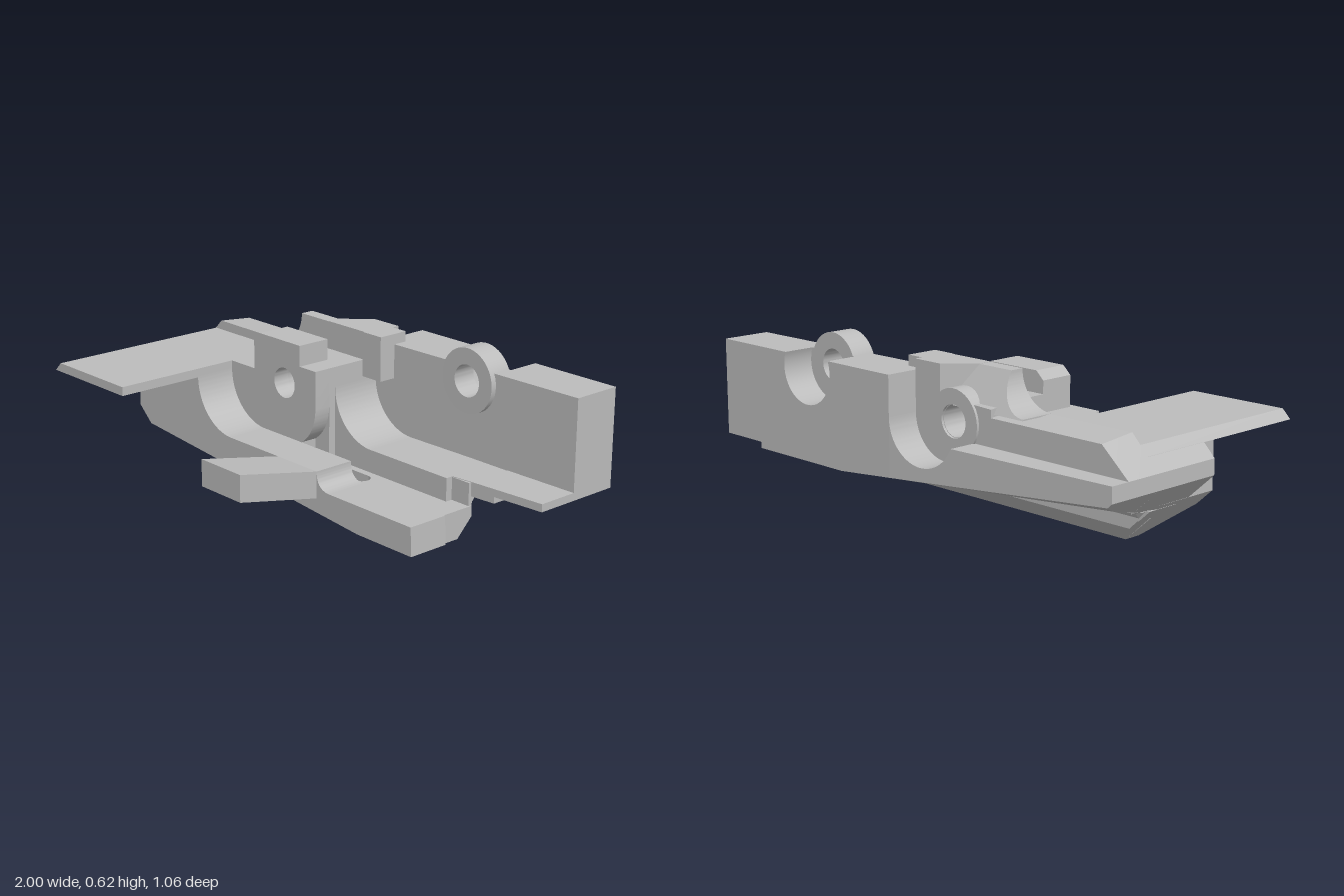
import * as THREE from 'three';
import { toCreasedNormals } from 'three/addons/utils/BufferGeometryUtils.js';

export function createModel() {
  const group = new THREE.Group();
  const metal = new THREE.MeshStandardMaterial({ color: 0xbcbcbc });
  metal.name = 'grey metal';

  const poly = (pts) => new THREE.Shape(pts.map(([x, y]) => new THREE.Vector2(x, y)));
  const circle = (x, y, r) => new THREE.Path().absarc(x, y, r, 0, Math.PI * 2, true);

  function add(name, geo, rule) {
    if (rule) {
      const p = geo.attributes.position;
      const v = new THREE.Vector3();
      for (let i = 0; i < p.count; i++) {
        rule(v.fromBufferAttribute(p, i));
        p.setXYZ(i, v.x, v.y, v.z);
      }
    }
    const mesh = new THREE.Mesh(toCreasedNormals(geo, 0.5), metal);
    mesh.name = name;
    group.add(mesh);
  }
  // front-view profile pushed from z0 to z1
  function slab(name, shape, z0, z1, rule) {
    const geo = new THREE.ExtrudeGeometry(shape, { depth: z1 - z0, bevelEnabled: false, curveSegments: 24 });
    add(name, geo.translate(0, 0, z0), rule);
  }
  // plan profile pushed from y0 to y1
  function layer(name, shape, y0, y1) {
    const geo = new THREE.ExtrudeGeometry(shape, { depth: y1 - y0, bevelEnabled: false, curveSegments: 16 });
    add(name, geo.rotateX(-Math.PI / 2).translate(0, y0, 0));
  }
  const plan = (pts) => poly(pts.map(([x, z]) => [x, -z]));
  const box = (name, x0, x1, y0, y1, z0, z1, rule) =>
    slab(name, poly([[x0, y0], [x1, y0], [x1, y1], [x0, y1]]), z0, z1, rule);

  // underside rises towards the back left, keeping the left end on its slope
  function liftUnderside(v) {
    if (v.y > 0.15) return;
    const rise = 0.24 * Math.max(0, 0.3 - v.x) * Math.max(0, -0.14 - v.z);
    v.y += rise;
    if (v.x < -0.8) v.x -= rise * 1.12;
  }

  // front base with rounded trough and a tapering underside bevel
  const front = new THREE.Shape();
  front.moveTo(-0.89, 0.38);
  front.lineTo(-0.89, 0.17);
  front.lineTo(-0.7, 0);
  front.lineTo(0.42, 0);
  front.lineTo(0.7, 0);
  front.lineTo(0.695, 0.11);
  front.lineTo(0.27, 0.11);
  front.quadraticCurveTo(0.2, 0.11, 0.2, 0.18);
  front.lineTo(-0.3, 0.18);
  front.absarc(-0.3, 0.38, 0.2, -Math.PI / 2, -Math.PI, true);
  slab('frontBase', front, 0, 0.17, (v) => {
    if (v.z > 0.1 && v.y < 0.01 && v.x < -0.6) { v.x = -0.82; v.y = 0.107; }
  });

  // base around the long slot
  slab('slotLeftEnd', poly([[-0.87, 0.15], [-0.7, 0], [-0.61, 0], [-0.61, 0.15]]), -0.07, 0);
  const slotEnd = new THREE.Shape();
  slotEnd.moveTo(0.69, 0);
  slotEnd.lineTo(0.69, 0.07);
  slotEnd.lineTo(0.22, 0.07);
  slotEnd.absarc(0.22, 0.035, 0.035, Math.PI / 2, -Math.PI / 2, true);
  layer('slotRightEnd', slotEnd, 0, 0.11);

  // rear base with bevelled lower edge, and the web joining it to the floor
  slab('rearBase', poly([[-0.82, 0.11], [-0.7, 0], [0.69, 0], [0.69, 0.11]]), -0.14, -0.07, (v) => {
    if (v.z < -0.1 && v.y < 0.01) { v.y = 0.07; if (v.x < 0) v.x = -0.778; }
  });
  slab('baseWeb', poly([[-0.87, 0.15], [-0.82, 0.105], [0.6, 0.105], [0.6, 0.15]]), -0.14, -0.1);
  slab('baseWebFront', poly([[-0.87, 0.15], [-0.82, 0.105], [0, 0.105], [0, 0.15]]), -0.1, -0.07);
  box('baseWebEnd', 0.59, 0.685, 0.105, 0.198, -0.145, -0.128);
  // small cove under the floor behind the base
  slab('rearCove', poly([[-0.85, 0.146], [-0.82, 0.115], [0.685, 0.115], [0.685, 0.146]]), -0.165, -0.139, (v) => {
    if (v.z < -0.15 && v.y < 0.12) v.y = 0.144;
  });

  // middle block with through hole; its front layer has a rounded lower corner
  function blockShape(rounded) {
    const s = new THREE.Shape();
    s.moveTo(-0.89, 0.38);
    s.lineTo(-0.89, 0.17);
    s.lineTo(-0.862, 0.145);
    if (rounded) {
      s.lineTo(-0.08, 0.145);
      s.lineTo(-0.08, 0.18);
      s.quadraticCurveTo(-0.005, 0.23, 0, 0.33);
    } else s.lineTo(0, 0.145);
    s.lineTo(0, 0.48);
    s.lineTo(-0.36, 0.48);
    s.lineTo(-0.36, 0.38);
    s.holes.push(circle(-0.18, 0.395, 0.06));
    return s;
  }
  slab('middleBlockFront', blockShape(true), -0.07, 0);
  slab('middleBlock', blockShape(false), -0.25, -0.07, liftUnderside);
  slab('topPad', poly([[-0.36, 0.48], [-0.09, 0.48], [-0.09, 0.562], [-0.325, 0.562], [-0.36, 0.53]]), -0.14, 0);

  // wide plate on the left and the tip beside it
  slab('sidePlate', poly([[-0.95, 0.377], [-0.5, 0.377], [-0.5, 0.412], [-0.915, 0.412]]), -0.25, 0.53);
  box('plateShoulder', -0.51, -0.35, 0.37, 0.412, -0.25, 0);
  slab('tip', poly([[-1, 0.27], [-0.88, 0.162], [-0.88, 0.378], [-0.952, 0.378], [-1, 0.33]]), -0.25, 0.04);

  // sloping tongue at the front
  box('tongue', -0.02, 0.2, 0.075, 0.18, 0.16, 0.53, (v) => { v.y += (v.z - 0.17) * 0.208; });

  // ridge, its curved rise and the upright lug
  const ridge = poly([[-1, 0.27], [-0.86, 0.145], [0, 0.145], [0, 0.48], [-0.36, 0.48],
    [-0.36, 0.45], [-0.88, 0.45], [-1, 0.33]]);
  ridge.holes.push(circle(-0.18, 0.395, 0.06));
  slab('ridge', ridge, -0.4, -0.25, (v) => {
    liftUnderside(v);
    if (v.z < -0.39 && v.y > 0.44 && v.x < -0.3) v.y -= 0.015;
  });
  const rise = new THREE.Shape();
  rise.moveTo(-0.5, 0.445);
  rise.lineTo(-0.15, 0.445);
  rise.lineTo(-0.15, 0.59);
  rise.lineTo(-0.36, 0.59);
  rise.absarc(-0.5, 0.59, 0.14, 0, -Math.PI / 2, true);
  slab('curvedRise', rise, -0.385, -0.245, (v) => { if (v.z < -0.38) v.z += (v.y - 0.445) * 0.59; });
  layer('lug', plan([[-0.2, -0.245], [0.03, -0.245], [0.03, -0.4], [-0.1, -0.4], [-0.2, -0.3]]), 0.47, 0.591);
  box('lugEnd', 0, 0.1, 0.415, 0.591, -0.37, -0.24);

  // inner floor and the concave fillet rising to the middle block
  layer('floor', plan([[0, -0.1], [0.6, -0.1], [0.6, -0.13], [0.69, -0.14], [0.69, -0.32], [0, -0.32]]), 0.145, 0.2);
  layer('floorEnd', plan([[0.69, -0.14], [1, -0.165], [1, -0.35], [0.69, -0.35]]), 0.17, 0.2);
  layer('floorRib', plan([[0.69, -0.14], [0.79, -0.148], [0.79, -0.41], [0.69, -0.41]]), 0.145, 0.17);
  const fillet = new THREE.Shape();
  fillet.moveTo(0, 0.2);
  fillet.lineTo(0.2, 0.2);
  fillet.absarc(0.2, 0.4, 0.2, -Math.PI / 2, -Math.PI, true);
  slab('floorFillet', fillet, -0.32, -0.1);

  // right wall, in two depths, with a round seat for the ring
  function seat(s, r) {
    const a = Math.asin(0.05 / r);
    s.lineTo(0.495 + r * Math.cos(a), 0.55);
    s.absarc(0.495, 0.5, r, a, Math.PI - a, true);
  }
  const wall = poly([[0, 0.145], [0.3, 0.145], [0.79, 0.145], [0.79, 0.17], [1, 0.17], [1, 0.55]]);
  seat(wall, 0.12);
  wall.lineTo(0, 0.55);
  slab('rightWall', wall, -0.4, -0.31, (v) => {
    liftUnderside(v);
    if (v.z > -0.35) v.z -= 0.02 * v.x;
  });

  // back wall with ring seat
  const back = poly([[0.03, 0.145], [0.3, 0.145], [0.79, 0.145], [0.79, 0.17], [1, 0.17], [1, 0.55]]);
  seat(back, 0.135);
  back.lineTo(0.03, 0.55);
  slab('backWall', back, -0.53, -0.4, liftUnderside);

  // low left ledge with a round pocket, tapering to the left
  const ledge = poly([[-1, 0.27], [-0.86, 0.145], [0.03, 0.145], [0.03, 0.395]]);
  ledge.absarc(-0.13, 0.395, 0.16, 0, Math.PI + 0.418, true);
  ledge.lineTo(-1, 0.33);
  slab('backLedge', ledge, -0.53, -0.4, (v) => {
    liftUnderside(v);
    if (v.z < -0.5) v.z += 0.05 * (0.03 - v.x) / 1.03;
  });

  // two bored rings
  for (const [name, x, y, r, z0, z1] of [
    ['rightRing', 0.495, 0.5, 0.125, -0.4, -0.3],
    ['leftRing', -0.18, 0.395, 0.12, -0.41, -0.3],
  ]) {
    const ring = new THREE.Shape().absarc(x, y, r, 0, Math.PI * 2, false);
    ring.holes.push(circle(x, y, 0.062));
    slab(name, ring, z0, z1);
  }
  return group;
}
